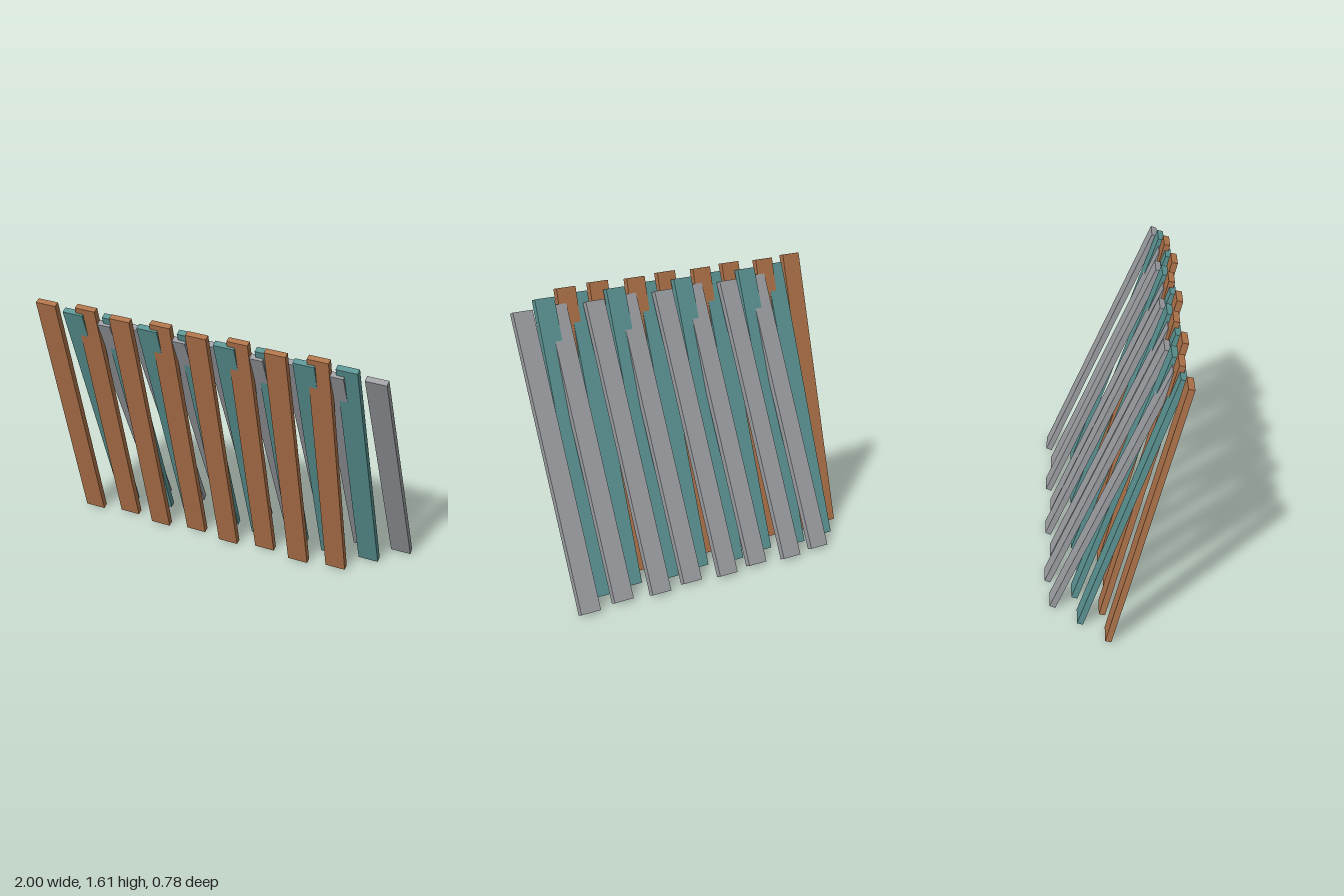
import * as THREE from 'three';

const COUNT = 8;
const PITCH = 0.2257;
const WIDTH = 0.12, LENGTH = 1.655, THICK = 0.035;

function flat(name, color) {
  const m = new THREE.MeshStandardMaterial({ color });
  m.name = name;
  return m;
}

export function createModel() {
  const model = new THREE.Group();
  model.name = 'leaningSlats';

  // Slat with its origin at the middle of the foot
  const slat = new THREE.BoxGeometry(WIDTH, LENGTH, THICK);
  slat.translate(0, LENGTH / 2, 0);

  // Three rows, each leaning further forward than the one before it
  const rows = [
    { name: 'front', material: flat('brown', 0xb0744a), x: -0.94, z: -0.04, lean: 0.25 },
    { name: 'middle', material: flat('teal', 0x5c9494), x: -0.79, z: -0.193, lean: 0.33 },
    { name: 'back', material: flat('grey', 0x9c9ea3), x: -0.64, z: -0.346, lean: 0.41 },
  ];

  for (const row of rows) {
    const group = new THREE.Group();
    group.name = row.name + 'Row';
    for (let i = 0; i < COUNT; i++) {
      const mesh = new THREE.Mesh(slat, row.material);
      mesh.name = row.name + 'Slat' + (i + 1);
      // Every second slat is set back slightly
      mesh.position.set(row.x + i * PITCH, 0.007, row.z - (i % 2) * 0.03);
      mesh.rotation.x = row.lean;
      group.add(mesh);
    }
    model.add(group);
  }
  return model;
}
